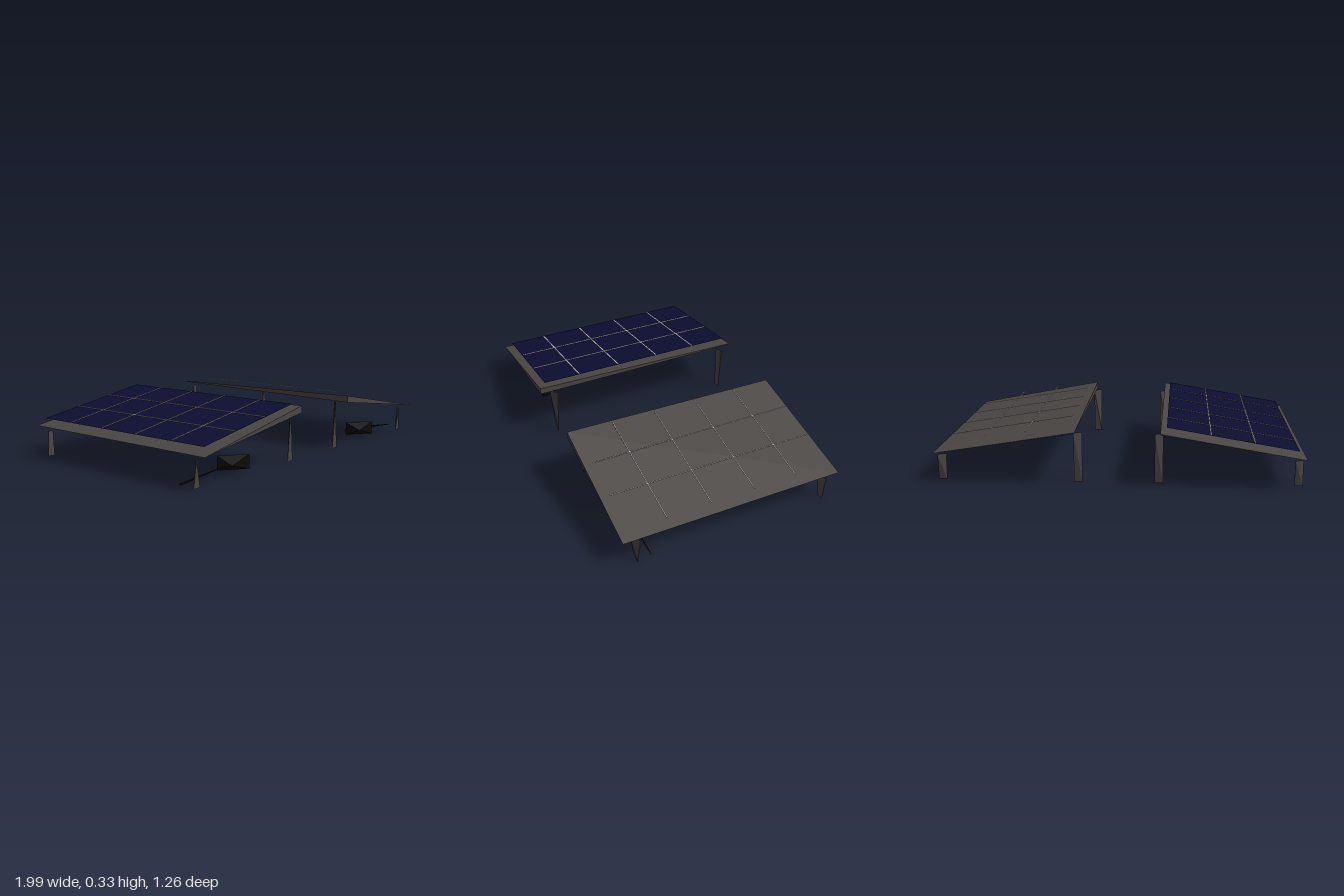
import * as THREE from 'three';
import { ConvexGeometry } from 'three/addons/geometries/ConvexGeometry.js';

const mat = (name, color, side = THREE.FrontSide) => {
  const m = new THREE.MeshStandardMaterial({ color, side });
  m.name = name;
  return m;
};

export function createModel() {
  const model = new THREE.Group();
  model.name = 'solarPanelPair';
  const frameGrey = mat('frameGrey', 0x4b4745);
  const cellBlue = mat('cellBlue', 0x0d0d30, THREE.DoubleSide);
  const lineGrey = mat('lineGrey', 0xb2b2aa);
  const black = mat('black', 0x0b0b0b);

  const add = (parent, name, geometry, material) => {
    const mesh = new THREE.Mesh(geometry, material);
    mesh.name = name;
    parent.add(mesh);
    return mesh;
  };
  const hull = (points) => new ConvexGeometry(points.map((p) => new THREE.Vector3(...p)));

  // Twisted blade leg: diagonal at the top, in line with x at the foot
  const leg = (parent, x, z, height, dz) => {
    const w = 0.0225, t = 0.003, f = 0.001;
    add(parent, 'leg', hull([
      [x - w, height, z + dz + t], [x - w, height, z + dz - t],
      [x + w, height, z - dz + t], [x + w, height, z - dz - t],
      [x - w, 0, z + f], [x - w, 0, z - f],
      [x + w, 0, z + f], [x + w, 0, z - f],
    ]), frameGrey);
  };

  // Tapered cable between two points
  const cable = (parent, a, b, ra, rb) => {
    const from = new THREE.Vector3(...a), to = new THREE.Vector3(...b);
    const dir = to.clone().sub(from);
    const mesh = add(parent, 'cable', new THREE.CylinderGeometry(rb, ra, dir.length(), 4), black);
    mesh.position.copy(from).add(to).multiplyScalar(0.5);
    mesh.quaternion.setFromUnitVectors(new THREE.Vector3(0, 1, 0), dir.normalize());
  };

  for (const s of [-1, 1]) {
    const panel = new THREE.Group();
    panel.name = s < 0 ? 'rightPanel' : 'leftPanel';
    model.add(panel);

    // Wedge frame, thickest at the inner front corner
    add(panel, 'frame', hull([
      [s * 0.993, 0.166, 0.63], [s * 0.993, 0.166, -0.63],
      [s * 0.226, 0.313, 0.63], [s * 0.226, 0.294, -0.63],
      [s * 0.226, 0.275, 0.63], [s * 0.226, 0.288, -0.63],
    ]), frameGrey);

    // Sloping cell sheet with its grid of lines
    const sheet = new THREE.Group();
    sheet.name = 'cellSheet';
    sheet.position.set(s * 0.607, 0.264, -0.004);
    sheet.rotation.z = -s * 0.167;
    panel.add(sheet);
    if (s < 0) add(sheet, 'cells', new THREE.PlaneGeometry(0.705, 1.19).rotateX(-Math.PI / 2), cellBlue);
    for (const x of [-0.117, 0.117]) {
      add(sheet, 'longLine', new THREE.BoxGeometry(0.007, 0.002, 1.18), lineGrey).position.set(x, 0.002, 0);
    }
    for (const z of [-0.376, -0.126, 0.126, 0.379]) {
      add(sheet, 'crossLine', new THREE.BoxGeometry(0.7, 0.002, 0.007), lineGrey).position.set(0, 0.002, z);
    }

    // Legs: short outside, tall inside
    for (const [z, dz] of [[0.55, 0.018], [-0.55, 0.01]]) {
      leg(panel, s * 0.9625, z, 0.142, dz);
      leg(panel, s * 0.218, z, 0.275, dz);
    }

    // Faceted junction box: upright diagonal rectangle with two side points
    const bx = s < 0 ? -0.61 : 0.602;
    add(panel, 'junctionBox', hull([
      [bx - 0.07, 0.015, 0.43], [bx - 0.07, 0.092, 0.43],
      [bx + 0.07, 0.015, 0.53], [bx + 0.07, 0.092, 0.53],
      [bx + 0.07, 0.054, 0.43], [bx - 0.07, 0.054, 0.53],
    ]), black);
  }

  // Cables run outward from the boxes
  cable(model, [-0.66, 0.047, 0.48], [-0.998, 0.015, 0.476], 0.002, 0.006);
  cable(model, [0.65, 0.053, 0.48], [0.985, 0.022, 0.476], 0.007, 0.002);

  return model;
}
